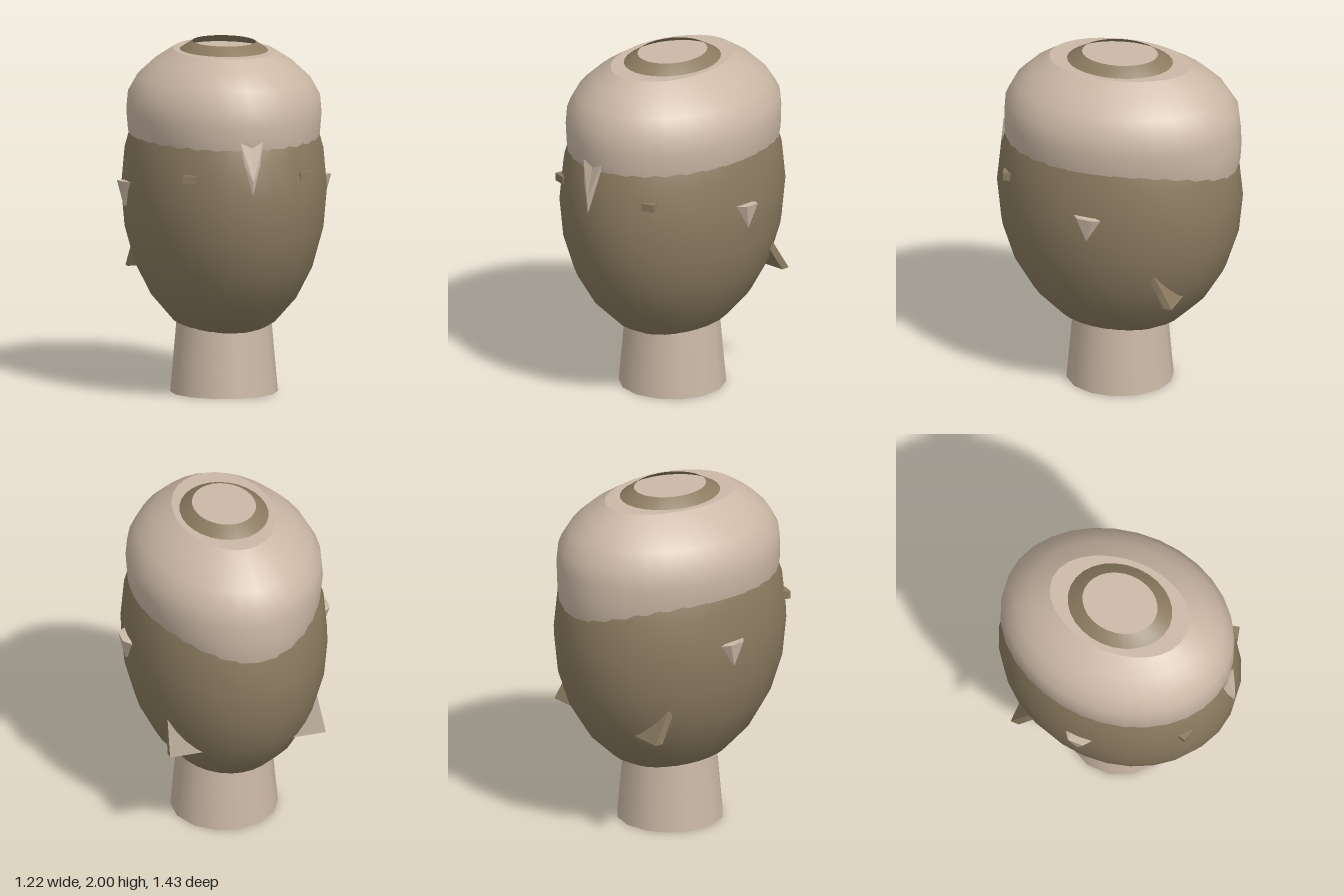
import * as THREE from 'three';
import { ConvexGeometry } from 'three/addons/geometries/ConvexGeometry.js';

const RX = 0.575, RZ = 0.71, RY = 0.875, CY = 1.17; // head ellipsoid

export function createModel() {
  const group = new THREE.Group();
  const brown = new THREE.MeshStandardMaterial({ color: 0x8b7b60, side: THREE.DoubleSide });
  brown.name = 'dull brown';
  const beige = new THREE.MeshStandardMaterial({ color: 0xcbb8a6 });
  beige.name = 'pale beige';

  const add = (name, geometry, material) => {
    const mesh = new THREE.Mesh(geometry, material);
    mesh.name = name;
    group.add(mesh);
    return mesh;
  };
  // Faceted solid through a few corner points, optionally mirrored in x
  const solid = (name, points, material, side = 1) =>
    add(name, new ConvexGeometry(points.map(([x, y, z]) => new THREE.Vector3(x * side, y, z))), material);

  // Head: ellipsoid with an open crown
  const profile = [-90, -75, -60, -45, -30, -15, 0, 15, 30, 45, 60, 72].map((deg) => {
    const a = THREE.MathUtils.degToRad(deg);
    return new THREE.Vector2(Math.max(Math.cos(a), 0), Math.sin(a) * RY);
  });
  const head = new THREE.LatheGeometry(profile, 28);
  head.scale(RX, 1, RZ);
  head.translate(0, CY, 0);
  add('head', head, brown);

  // Neck
  const neck = new THREE.CylinderGeometry(0.265, 0.305, 0.45, 14);
  neck.translate(0, 0.225, 0);
  add('neck', neck, beige);

  // Hair cap: rings of [height, side, front, back] as fractions of the head's width
  const rings = [
    [1.3, 0.85, 0.86, 0.95], [1.4, 0.9, 0.91, 0.985], [1.5, 0.935, 0.94, 0.993],
    [1.6, 0.95, 0.94, 0.986], [1.7, 0.935, 0.93, 0.97], [1.8, 0.84, 0.855, 0.875],
    [1.885, 0.68, 0.73, 0.745], [1.955, 0.49, 0.58, 0.59],
  ];
  const N = 32;
  const ringPoint = ([y, side, front, back], i) => {
    const a = (i / N) * Math.PI * 2, c = Math.cos(a);
    const s = side + (front - side) * Math.max(c, 0) ** 2 + (back - side) * Math.max(-c, 0) ** 3;
    return [RX * s * Math.sin(a), y, RZ * s * c];
  };
  const position = [], index = [];
  rings.forEach((ring, j) => {
    for (let i = 0; i < N; i++) {
      position.push(...ringPoint(ring, i));
      if (j === rings.length - 1) continue;
      const a = j * N + i, b = j * N + (i + 1) % N;
      index.push(a, b, a + N, b, b + N, a + N);
    }
  });
  const cap = new THREE.BufferGeometry();
  cap.setAttribute('position', new THREE.Float32BufferAttribute(position, 3));
  cap.setIndex(index);
  cap.computeVertexNormals();
  add('hairCap', cap, beige);

  // Flat lid of the cap, seen through the open crown
  const lidShape = new THREE.Shape();
  for (let i = 0; i < N; i++) {
    const [x, , z] = ringPoint(rings[rings.length - 1], i);
    lidShape[i ? 'lineTo' : 'moveTo'](x, -z);
  }
  const lid = new THREE.ShapeGeometry(lidShape);
  lid.rotateX(-Math.PI / 2);
  lid.translate(0, 1.955, 0);
  add('capLid', lid, beige);

  for (const side of [1, -1]) {
    const label = side > 0 ? 'left' : 'right';

    // Ear: small upside-down wedge
    solid(label + 'Ear', [
      [0.612, 1.228, 0.045], [0.612, 1.222, -0.045], [0.565, 1.225, 0.08],
      [0.565, 1.21, -0.08], [0.5, 1.22, 0.06], [0.5, 1.22, -0.06], [0.583, 1.08, 0], [0.54, 1.08, 0],
    ], beige, side);

    // Eye: little block turned to follow the face
    const eye = add(label + 'Eye', new THREE.BoxGeometry(0.075, 0.045, 0.05), brown);
    eye.position.set(0.332 * side, 1.303, 0.557);
    eye.rotation.y = 0.28 * side;

    // Jaw fin: slanted triangular plate
    solid(label + 'JawFin', [
      [0.44, 0.865, -0.35], [0.44, 0.825, -0.325], [0.46, 0.67, -0.47],
      [0.46, 0.67, -0.42], [0.26, 0.67, -0.47], [0.26, 0.67, -0.42],
    ], brown, side);

    // Nose: one half of a notched, tapering wedge
    solid(label + 'NoseHalf', [
      [0, 1.485, 0.673], [0.065, 1.52, 0.674], [0.045, 1.39, 0.692], [0, 1.3, 0.716],
      [0, 1.22, 0.71], [0.012, 1.27, 0.7], [0, 1.35, 0.6], [0.03, 1.45, 0.6],
    ], beige, side);
  }
  return group;
}
